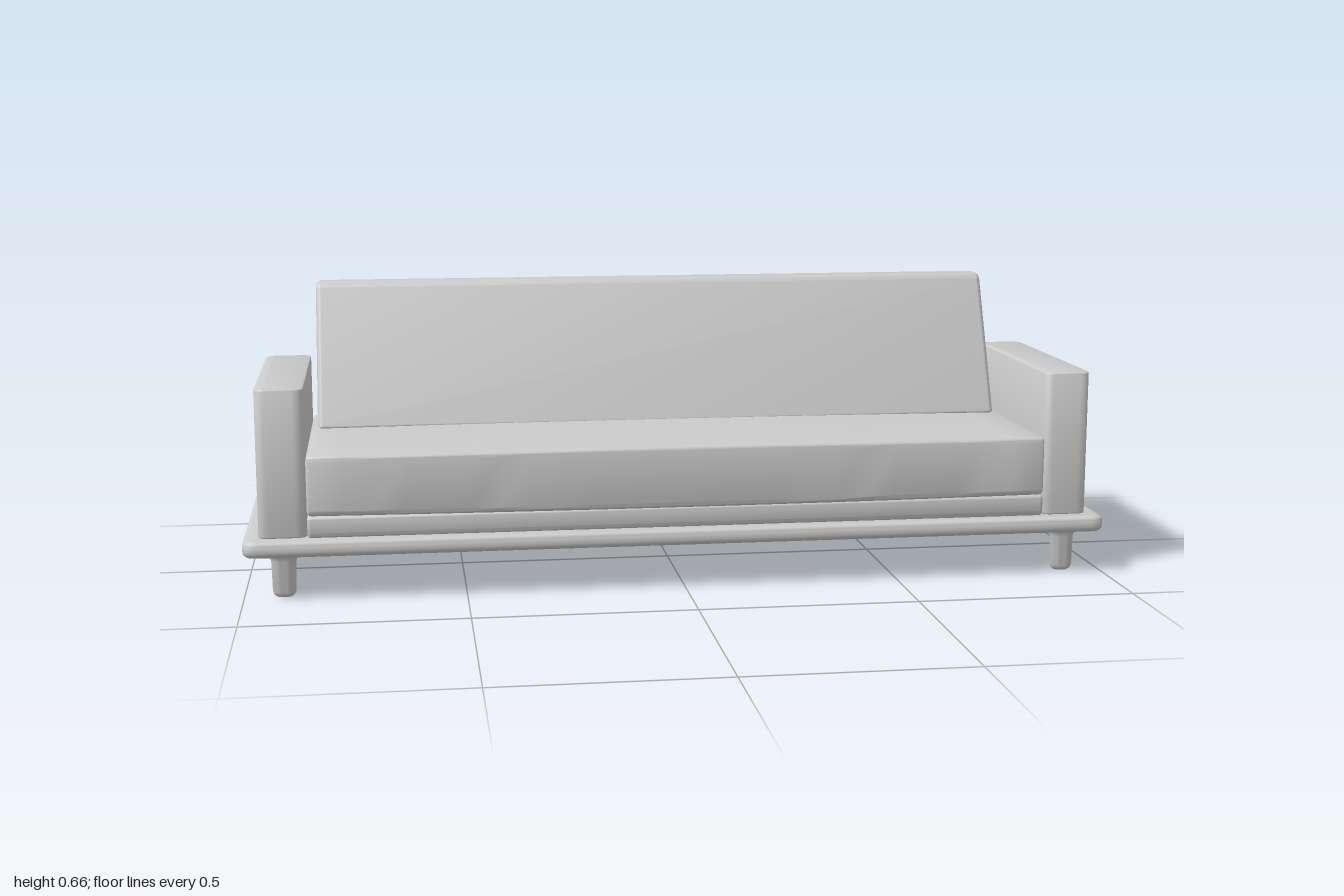
import * as THREE from 'three';
import { toCreasedNormals } from 'three/addons/utils/BufferGeometryUtils.js';

const material = new THREE.MeshStandardMaterial({ color: 0xcccccc });

// Closed polygon with rounded corners; points are [x, y, radius]
function roundedShape(points) {
  const shape = new THREE.Shape();
  const n = points.length;
  points.forEach(([x, y, r], i) => {
    const corner = new THREE.Vector2(x, y);
    const toward = ([px, py]) =>
      new THREE.Vector2(px, py).sub(corner).setLength(r).add(corner);
    const a = toward(points[(i + n - 1) % n]);
    const b = toward(points[(i + 1) % n]);
    if (i === 0) shape.moveTo(a.x, a.y);
    else shape.lineTo(a.x, a.y);
    shape.quadraticCurveTo(x, y, b.x, b.y);
  });
  shape.closePath();
  return shape;
}

const rect = (x0, x1, y0, y1, r) =>
  roundedShape([[x0, y0, r], [x1, y0, r], [x1, y1, r], [x0, y1, r]]);

// Extrusion of total depth, centred on z, with softened rims
function softExtrude(shape, depth, bevel, steps = 1) {
  const geometry = new THREE.ExtrudeGeometry(shape, {
    depth: depth - 2 * bevel, steps, curveSegments: 6,
    bevelThickness: bevel, bevelSize: bevel, bevelOffset: -bevel, bevelSegments: 4,
  });
  return geometry.translate(0, 0, -depth / 2 + bevel);
}

// Horizontal slab with rounded plan corners
function slab(width, depth, y0, y1, r, bevel) {
  return softExtrude(rect(-width / 2, width / 2, -depth / 2, depth / 2, r), y1 - y0, bevel)
    .rotateX(-Math.PI / 2).translate(0, (y0 + y1) / 2, 0);
}

// Side profile drawn as (-z, y), swept along x
const sweepX = (shape, width, bevel, steps) =>
  softExtrude(shape, width, bevel, steps).rotateY(Math.PI / 2);

function moveVertices(geometry, rule) {
  const p = geometry.attributes.position;
  const v = new THREE.Vector3();
  for (let i = 0; i < p.count; i++) {
    rule(v.fromBufferAttribute(p, i));
    p.setXYZ(i, v.x, v.y, v.z);
  }
  return geometry;
}

export function createModel() {
  const sofa = new THREE.Group();
  sofa.name = 'sofa';
  const add = (name, geometry, x = 0, y = 0, z = 0) => {
    const mesh = new THREE.Mesh(toCreasedNormals(geometry, 0.6), material);
    mesh.name = name;
    mesh.position.set(x, y, z);
    sofa.add(mesh);
  };

  // Platform
  add('platform', slab(2, 0.626, 0.1, 0.138, 0.035, 0.014));

  // Shallow bulging panel under the platform
  const underside = new THREE.PlaneGeometry(1.76, 0.53, 24, 12).rotateX(Math.PI / 2);
  moveVertices(underside, (v) => {
    const fx = 1 - (v.x / 0.88) ** 8;
    const fz = 1 - (v.z / 0.265) ** 4;
    v.y = 0.1005 - 0.012 * fx * fz;
  });
  add('undersidePanel', underside);

  // Raised rear lip, sloping down to the platform corners
  const lip = roundedShape([
    [-0.97, 0.112, 0.005], [0.97, 0.112, 0.005], [0.95, 0.136, 0.015], [0.75, 0.235, 0.06],
    [-0.75, 0.235, 0.06], [-0.95, 0.136, 0.015],
  ]);
  add('rearLip', softExtrude(lip, 0.034, 0.009), 0, 0, -0.296);

  // Seat base and seat cushion
  add('seatBase', sweepX(rect(-0.284, 0.275, 0.137, 0.188, 0.012), 1.71, 0.008, 1));
  const cushion = sweepX(rect(-0.285, 0.285, 0.187, 0.325, 0.014), 1.71, 0.01, 24);
  moveVertices(cushion, (v) => {
    const swell = Math.max(0, 1 - (v.x / 0.85) ** 2);
    v.z *= 1 + 0.025 * swell;
    v.y += (v.y > 0.25 ? 0.004 : -0.003) * swell;
  });
  add('seatCushion', cushion);

  // Wedge backrest
  const back = roundedShape([
    [0.068, 0.324, 0.008], [0.29, 0.324, 0.01], [0.29, 0.662, 0.016], [0.218, 0.662, 0.016],
  ]);
  add('backrest', sweepX(back, 1.675, 0.012, 1));

  // Arms and legs
  for (const side of [-1, 1]) {
    const sideName = side > 0 ? 'left' : 'right';
    add(sideName + 'Arm', slab(0.11, 0.55, 0.137, 0.476, 0.026, 0.004), side * 0.91);
    for (const end of [-1, 1]) {
      const profile = [
        [0, 0.003], [0.009, 0.004], [0.013, 0.008], [0.0155, 0.016],
        [0.0165, 0.085], [0.019, 0.095], [0.025, 0.102],
      ].map(([r, y]) => new THREE.Vector2(r, y - 0.003));
      const leg = new THREE.LatheGeometry(profile, 24).scale(1.7, 1.02, 1);
      add(sideName + (end > 0 ? 'Front' : 'Rear') + 'Leg', leg, side * 0.91, 0, end * 0.26);
    }
  }
  return sofa;
}
